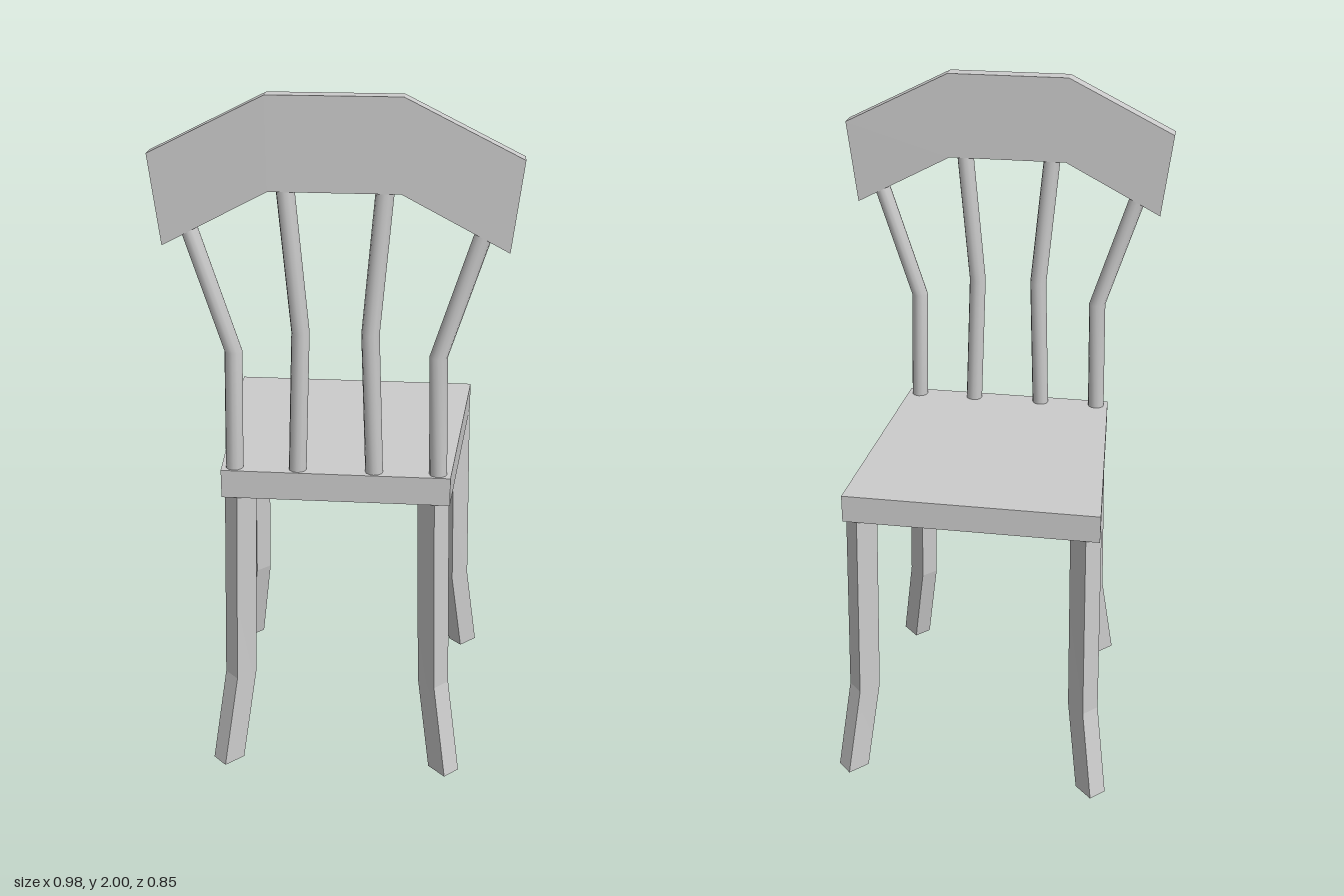
import * as THREE from 'three';
import { toCreasedNormals } from 'three/addons/utils/BufferGeometryUtils.js';

const material = new THREE.MeshStandardMaterial({ color: 0xcccccc });

// Closed solid through horizontal rings: each section is { y, ring: [[x, z], ...] }, bottom to top
function loft(sections, crease = 0.5) {
  const n = sections[0].ring.length;
  const positions = [];
  const index = [];
  for (const { y, ring } of sections) for (const [x, z] of ring) positions.push(x, y, z);
  for (let s = 0; s < sections.length - 1; s++) {
    for (let i = 0; i < n; i++) {
      const a = s * n + i, b = s * n + (i + 1) % n;
      index.push(a, a + n, b + n, a, b + n, b);
    }
  }
  const top = (sections.length - 1) * n;
  for (let i = 1; i < n - 1; i++) {
    index.push(0, i, i + 1);
    index.push(top, top + i + 1, top + i);
  }
  const geometry = new THREE.BufferGeometry();
  geometry.setAttribute('position', new THREE.Float32BufferAttribute(positions, 3));
  geometry.setIndex(index);
  return toCreasedNormals(geometry, crease);
}

function addPart(parent, name, geometry) {
  const mesh = new THREE.Mesh(geometry, material);
  mesh.name = name;
  parent.add(mesh);
  return mesh;
}

// Rectangular leg turned to face its seat corner; path points are [x, y, z] for the +x side
function legGeometry(path, sx, sz) {
  const halfDepth = 0.035, halfWidth = 0.0285;
  const dx = sx * Math.SQRT1_2, dz = sz * Math.SQRT1_2;
  const corners = [[1, -1], [1, 1], [-1, 1], [-1, -1]];
  return loft(path.map(([x, y, z]) => ({
    y,
    ring: corners.map(([d, t]) => [
      sx * x + d * halfDepth * dx - t * halfWidth * dz,
      z + d * halfDepth * dz + t * halfWidth * dx,
    ]),
  })), 0.05);
}

// Round bent spindle; path points are [x, y]
function spindleGeometry(path, side) {
  const radius = 0.025, sides = 12, z = 0.34;
  return loft(path.map(([x, y]) => ({
    y,
    ring: Array.from({ length: sides }, (_, i) => {
      const a = (i / sides) * Math.PI * 2;
      return [side * x + radius * Math.cos(a), z + radius * Math.sin(a)];
    }),
  })), 0.6);
}

export function createModel() {
  const chair = new THREE.Group();
  chair.name = 'chair';

  // Tapered seat board
  const seatOutline = [[0.37, -0.37], [0.322, 0.37], [-0.322, 0.37], [-0.37, -0.37]];
  addPart(chair, 'seat', loft([0.87, 0.953].map((y) => ({ y, ring: seatOutline }))));

  // Legs, kicking outwards below the knee
  const wideLeg = [[0.37, 0, -0.38], [0.335, 0.28, -0.336], [0.325, 0.88, -0.321]];
  const narrowLeg = [[0.325, 0, 0.376], [0.287, 0.28, 0.335], [0.274, 0.88, 0.323]];
  for (const side of [1, -1]) {
    const label = side > 0 ? 'left' : 'right';
    addPart(chair, `${label}SeatEdgeLeg`, legGeometry(wideLeg, side, -1));
    addPart(chair, `${label}BackrestLeg`, legGeometry(narrowLeg, side, 1));
  }

  // Bent spindles
  const outerSpindle = [[0.287, 0.94], [0.28, 1.3], [0.408, 1.7]];
  const innerSpindle = [[0.108, 0.94], [0.095, 1.36], [0.137, 1.82]];
  for (const side of [1, -1]) {
    const label = side > 0 ? 'left' : 'right';
    addPart(chair, `${label}OuterSpindle`, spindleGeometry(outerSpindle, side));
    addPart(chair, `${label}InnerSpindle`, spindleGeometry(innerSpindle, side));
  }

  // Angular top rail
  const half = [[0.175, 1.75], [0.46, 1.6], [0.49, 1.845], [0.178, 2]];
  const outline = [...half, ...half.map(([x, y]) => [-x, y]).reverse()];
  const railShape = new THREE.Shape(outline.map(([x, y]) => new THREE.Vector2(x, y)));
  const rail = new THREE.ExtrudeGeometry(railShape, { depth: 0.05, bevelEnabled: false });
  addPart(chair, 'topRail', rail).position.z = 0.315;

  return chair;
}
